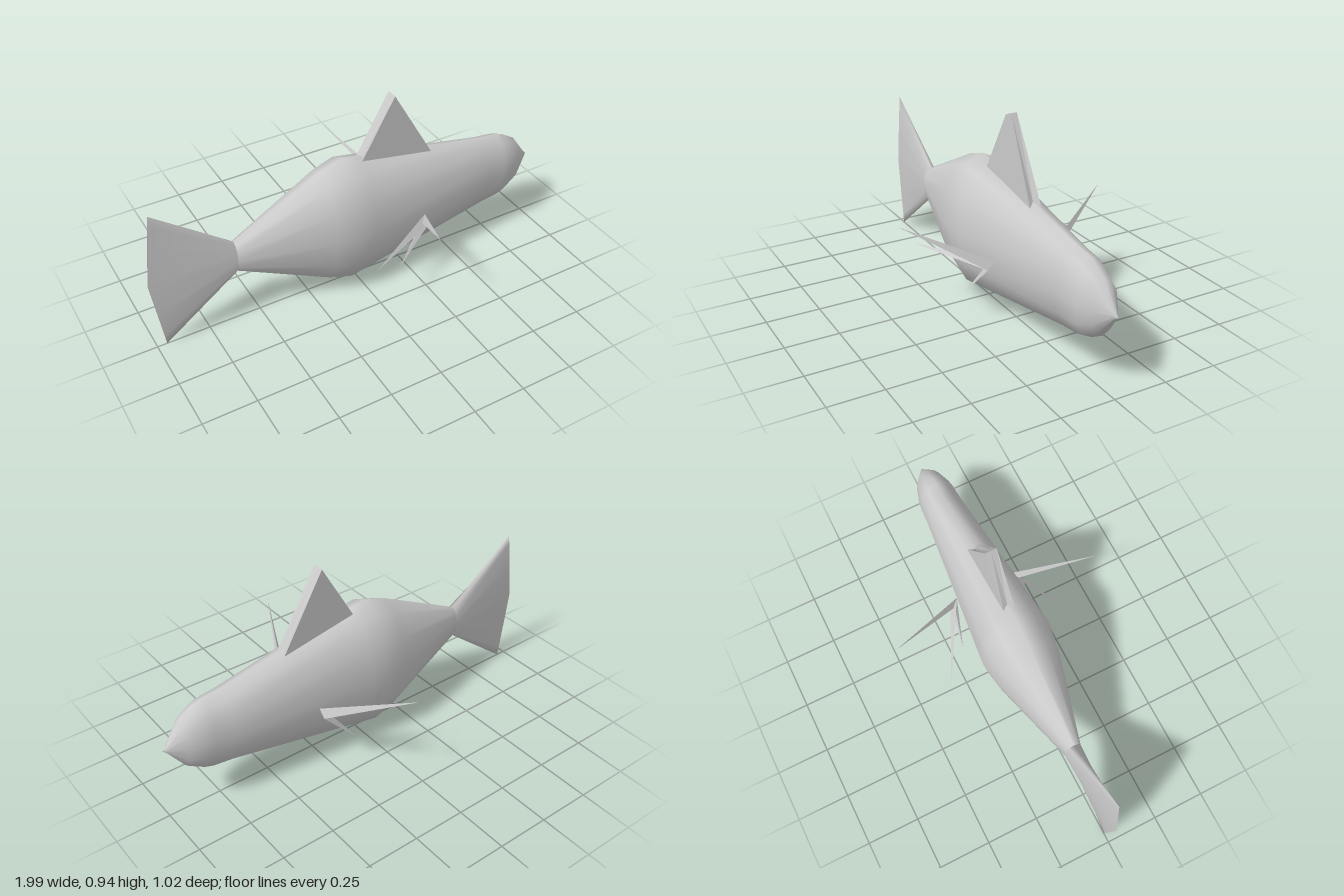
import * as THREE from 'three';

const MID = 0.36, SIDES = 12;
const material = new THREE.MeshStandardMaterial({ color: 0xcccccc, side: THREE.DoubleSide });

function mesh(name, geometry) {
  const m = new THREE.Mesh(geometry, material);
  m.name = name;
  return m;
}

// Skin a list of rings (ordered along +x), each a function of the angle around x
function loft(rings) {
  const pos = [], index = [];
  for (const ring of rings) {
    for (let j = 0; j < SIDES; j++) pos.push(...ring((j / SIDES) * Math.PI * 2));
  }
  for (let i = 0; i < rings.length - 1; i++) {
    for (let j = 0; j < SIDES; j++) {
      const k = (j + 1) % SIDES, a = i * SIDES, b = a + SIDES;
      index.push(a + j, a + k, b + j, a + k, b + k, b + j);
    }
  }
  const g = new THREE.BufferGeometry();
  g.setAttribute('position', new THREE.Float32BufferAttribute(pos, 3));
  g.setIndex(index);
  g.computeVertexNormals();
  return g;
}

const ellipse = (x, ry, rz) => (a) => [x, MID + ry * Math.cos(a), rz * Math.sin(a)];

// Slender pointed ray: a tip joined to a small triangular root
function ray(tip, root) {
  const [a, b, c] = root;
  const g = new THREE.BufferGeometry();
  g.setAttribute('position', new THREE.Float32BufferAttribute(
    [a, b, tip, b, c, tip, c, a, tip, a, c, b].flat(), 3));
  g.computeVertexNormals();
  return g;
}

export function createModel() {
  const model = new THREE.Group();
  model.name = 'fish';

  // Body: x, half height, half width from tail root to snout
  const sections = [
    [-0.6, 0.08, 0.042], [-0.17, 0.295, 0.16], [-0.06, 0.33, 0.178], [0.02, 0.315, 0.17],
    [0.7, 0.187, 0.1], [0.79, 0.177, 0.094], [0.83, 0.164, 0.087], [0.9, 0.122, 0.065],
    [0.975, 0.017, 0.012], [0.99, 0.001, 0.001],
  ];
  model.add(mesh('body', loft(sections.map((s) => ellipse(...s)))));

  // Tail: the tail root flattens into a thin, tall rear edge
  const rearEdge = (a) => {
    const c = Math.cos(a);
    return [-1 + 0.045 * Math.abs(c), MID + 0.357 * c, 0.002 * Math.sin(a)];
  };
  model.add(mesh('tailFin', loft([rearEdge, ellipse(-0.6, 0.08, 0.042)])));

  // Dorsal fin: triangular slab with slightly hollow front and back edges
  const outline = new THREE.Shape([[0.025, 0.655], [0.395, 0.59], [0.19, 0.945]]
    .map(([x, y]) => new THREE.Vector2(x, y)));
  const dorsal = new THREE.ExtrudeGeometry(outline, { depth: 0.054, steps: 2, bevelEnabled: false });
  dorsal.translate(0, 0, -0.027);
  const p = dorsal.attributes.position;
  for (let i = 0; i < p.count; i++) {
    if (Math.abs(p.getZ(i)) < 0.001) p.setX(i, 0.19 + (p.getX(i) - 0.19) * 0.94);
  }
  dorsal.computeVertexNormals();
  model.add(mesh('dorsalFin', dorsal));

  // Pectoral fins: three rays spreading from one root on each side
  const tips = [[0.13, 0.51, 0.51], [-0.09, 0.318, 0.357], [0.13, 0.12, 0.2]];
  for (const [side, name] of [[1, 'rightFrontFin'], [-1, 'rearSideFin']]) {
    const fin = new THREE.Group();
    fin.name = side > 0 ? 'pectoralFinFront' : 'pectoralFinBack';
    const flip = ([x, y, z]) => [x, y, z * side];
    const root = [[0.3, 0.3, 0.175], [0.3, 0.335, 0.14], [0.27, 0.312, 0.165]].map(flip);
    if (side < 0) root.reverse();
    tips.forEach((tip, i) => fin.add(mesh('finRay' + (i + 1), ray(flip(tip), root))));
    model.add(fin);
  }
  return model;
}
